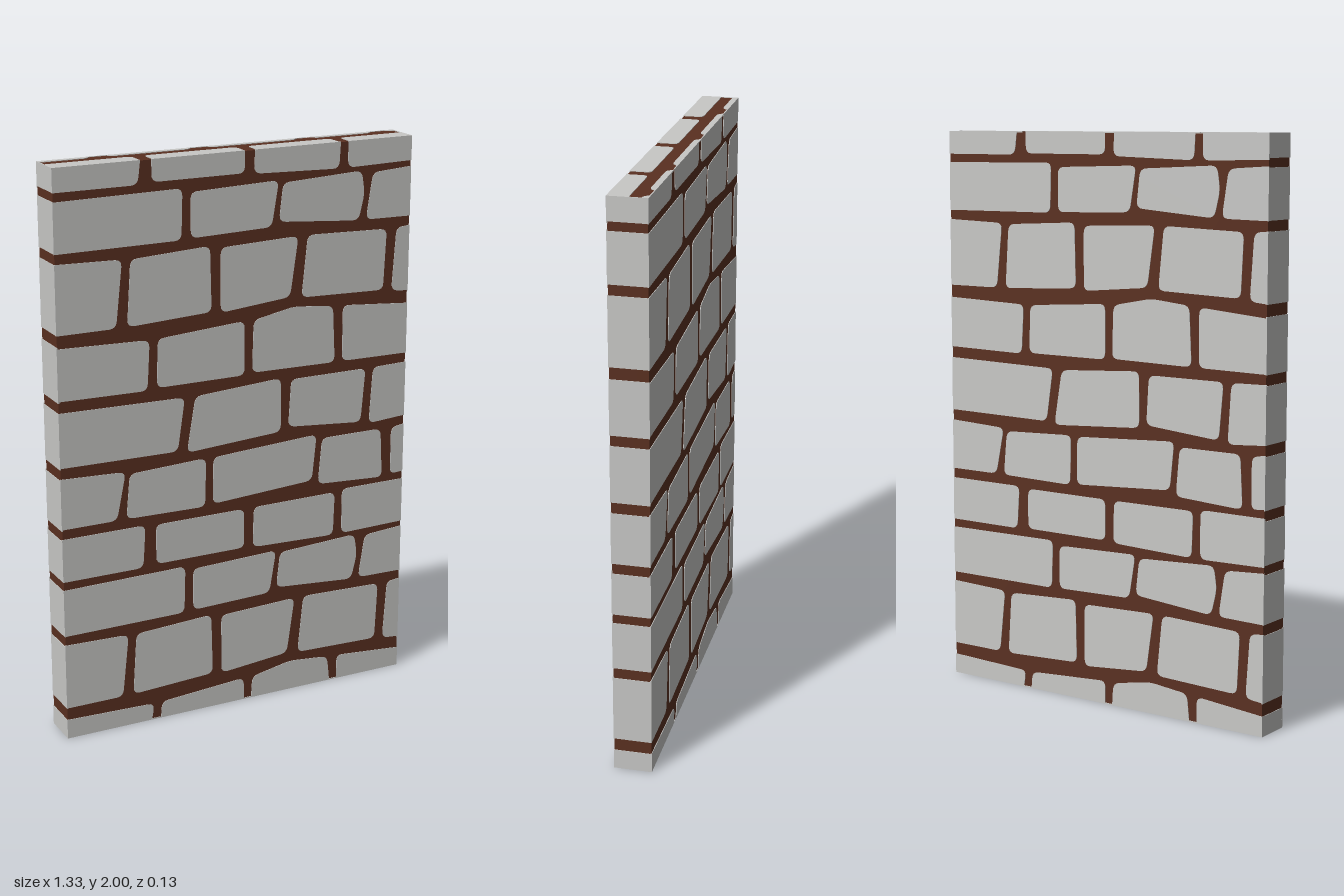
import * as THREE from 'three';

const W = 0.667, H = 2, D = 0.066; // half width, height, half depth
const T = 0.002;                   // how far the stones stand off the mortar
const TILE = 1.334;                // the courses repeat at this height

// Stones of each course as corner outlines (x, y), clockwise from top left
const courseA = [
  [-W, .74, -.36, .74, -.37, .585, -W, .585],
  [-.32, .735, .02, .735, .02, .59, -.32, .59],
  [.058, .735, .385, .737, .38, .575, .055, .585],
  [.415, .745, W, .745, W, .58, .415, .575],
];
const courseB = [
  [-W, .555, -.21, .56, -.215, .387, -W, .385],
  [-.18, .545, .148, .555, .122, .398, -.18, .39],
  [.165, .545, .47, .56, .482, .48, .46, .388, .15, .413],
  [.515, .55, W, .56, W, .385, .49, .388],
];
const courseC = [
  [-W, .352, -.43, .345, -.455, .115, -W, .115],
  [-.4, .342, -.11, .357, -.105, .13, -.415, .115],
  [-.07, .347, .225, .357, .195, .147, -.07, .123],
  [.262, .357, .575, .347, .565, .13, .24, .14],
  [.615, .347, W, .352, W, .117, .6, .123],
];
const courseD = [
  [-W, 1.405, -.335, 1.395, -.345, 1.22, -W, 1.225],
  [-.305, 1.395, .02, 1.417, .02, 1.225, -.31, 1.225],
  [.055, 1.415, .21, 1.445, .365, 1.43, .375, 1.225, .05, 1.23],
  [.405, 1.427, W, 1.405, W, 1.222, .405, 1.225],
];
const courseE = [
  [-W, 1.185, -.207, 1.177, -.235, .988, -W, .993],
  [-.167, 1.175, .162, 1.195, .163, 1, -.2, .978],
  [.203, 1.185, .502, 1.185, .485, .988, .193, 1.013],
  [.533, 1.185, W, 1.188, W, .988, .52, .978],
];
const courseF = [
  [-W, .955, -.43, .945, -.465, .775, -W, .775],
  [-.415, .935, -.128, .947, -.132, .77, -.43, .775],
  [-.1, .945, .307, .967, .29, .798, -.102, .775],
  [.33, .95, .57, .95, .58, .765, .315, .78],
  [.615, .947, W, .955, W, .775, .615, .77],
];
const courses = [courseA, courseB, courseC, courseD, courseE, courseF];

// Extents of the stones showing on the narrow faces
const sideSpans = [[0, .07], [.114, .347], [.384, .553], [.585, .734], [.77, .95],
  [.988, 1.184], [1.22, 1.41], [1.45, 1.685], [1.72, 1.89], [1.92, H]];
const capNear = [[-W, -.36], [-.315, .02], [.065, .38], [.42, W]];
const capFar = [[-W, -.48], [-.425, -.115], [-.06, .285], [.335, .58], [.63, W]];

const rect = (x0, x1, y0, y1) => [x0, y1, x1, y1, x1, y0, x0, y0];

// Thin stone plate; corners are rounded unless they touch the face border
function stonePlate(outline, xMax, yMin, yMax, radius) {
  const p = [];
  for (let i = 0; i < outline.length; i += 2)
    p.push(new THREE.Vector2(outline[i], THREE.MathUtils.clamp(outline[i + 1], yMin, yMax)));
  const shape = new THREE.Shape();
  p.forEach((c, i) => {
    const toward = (q) => c.clone().lerp(q, Math.min(.4, radius / c.distanceTo(q)));
    const onBorder = Math.abs(c.x) > xMax - .001 || c.y < yMin + .001 || c.y > yMax - .001;
    const a = onBorder ? c : toward(p[(i + p.length - 1) % p.length]);
    const b = onBorder ? c : toward(p[(i + 1) % p.length]);
    if (i === 0) shape.moveTo(a.x, a.y); else shape.lineTo(a.x, a.y);
    if (!onBorder) shape.quadraticCurveTo(c.x, c.y, b.x, b.y);
  });
  shape.closePath();
  return new THREE.ExtrudeGeometry(shape, { depth: 2 * T, bevelEnabled: false, curveSegments: 4 });
}

export function createModel() {
  const stone = new THREE.MeshStandardMaterial({ color: 0xc8c8c6 });
  stone.name = 'pale grey stone';
  const mortar = new THREE.MeshStandardMaterial({ color: 0x5a3020 });
  mortar.name = 'brown mortar';
  const model = new THREE.Group();
  model.name = 'stoneWall';

  // Mortar slab
  const core = new THREE.Mesh(
    new THREE.BoxGeometry(2 * (W - T), H - 2 * T, 2 * (D - T)), mortar);
  core.name = 'mortarCore';
  core.position.y = H / 2;
  model.add(core);

  // One face of the wall, its plates ending flush with the outer size
  function addFace(name, geometries, position, rotX, rotY) {
    const face = new THREE.Group();
    face.name = name;
    for (const g of geometries) {
      const mesh = new THREE.Mesh(g, stone);
      mesh.name = 'stone';
      mesh.position.z = -2 * T;
      face.add(mesh);
    }
    face.position.set(...position);
    face.rotation.set(rotX, rotY, 0);
    model.add(face);
  }

  // Front and back, with the courses repeated up and down and cut at the ends
  const wall = [];
  for (const shift of [-TILE, 0, TILE])
    for (const outline of courses.flat()) {
      const moved = outline.map((v, i) => (i % 2 ? v + shift : v));
      const ys = moved.filter((v, i) => i % 2);
      if (Math.max(...ys) > .01 && Math.min(...ys) < H - .01)
        wall.push(stonePlate(moved, W, 0, H, .025));
    }
  addFace('frontStones', wall, [0, 0, D], 0, 0);
  addFace('backStones', wall, [0, 0, -D], 0, Math.PI);

  // Narrow sides
  const side = sideSpans.map(([a, b]) => stonePlate(rect(-D, D, a, b), D, 0, H, .01));
  addFace('leftSideStones', side, [W, 0, 0], 0, Math.PI / 2);
  addFace('rightSideStones', side, [-W, 0, 0], 0, -Math.PI / 2);

  // Top and bottom
  const cap = [
    ...capNear.map(([a, b]) => stonePlate(rect(a, b, -D, .004), W, -D, D, .018)),
    ...capFar.map(([a, b]) => stonePlate(
      [a, D, b, D, b < W ? b - .02 : b, .045, a > -W ? a + .02 : a, .045], W, -D, D, .01)),
  ];
  addFace('topStones', cap, [0, H, 0], -Math.PI / 2, 0);
  addFace('bottomStones', cap, [0, 0, 0], Math.PI / 2, 0);

  return model;
}
